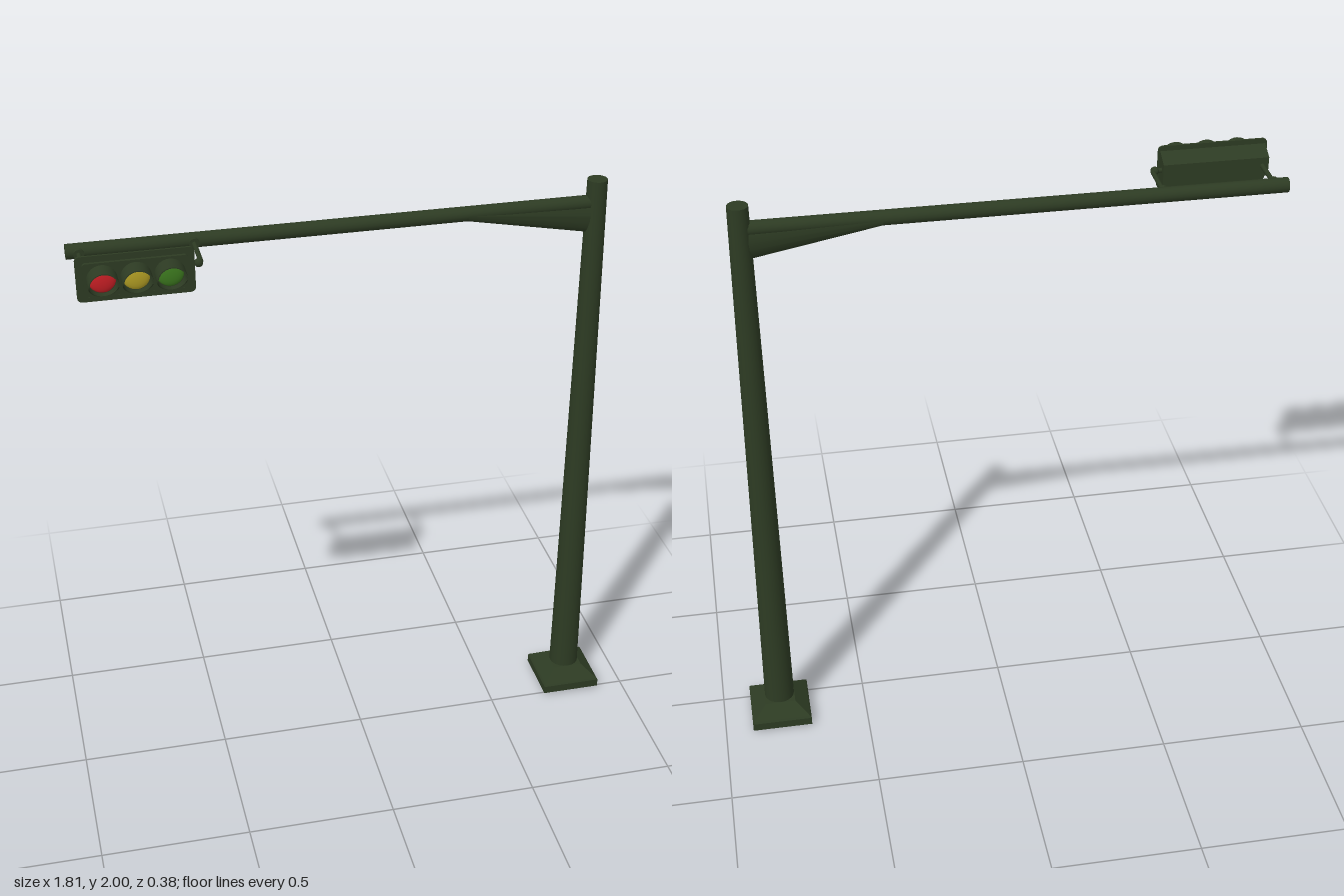
import * as THREE from 'three';

const ARM_Y = 1.922, ARM_Z = -0.088, POLE_X = 0.802, HEAD_X = -0.715, HEAD_Y = 1.918;

function paint(name, color, double = false) {
  const m = new THREE.MeshStandardMaterial({ color });
  m.name = name;
  if (double) m.side = THREE.DoubleSide;
  return m;
}

function add(parent, name, geometry, material, x = 0, y = 0, z = 0) {
  const mesh = new THREE.Mesh(geometry, material);
  mesh.name = name;
  mesh.position.set(x, y, z);
  parent.add(mesh);
  return mesh;
}

// Gives every face its own normal, for crisp edges
function faceted(geometry) {
  const g = geometry.index ? geometry.toNonIndexed() : geometry;
  g.computeVertexNormals();
  return g;
}

// Moves each vertex of a geometry by a rule
function reshape(geometry, rule) {
  const p = geometry.attributes.position;
  const v = new THREE.Vector3();
  for (let i = 0; i < p.count; i++) {
    rule(v.fromBufferAttribute(p, i));
    p.setXYZ(i, v.x, v.y, v.z);
  }
  geometry.computeVertexNormals();
  return geometry;
}

function roundedRect(w, h, r) {
  const s = new THREE.Shape(), x = w / 2, y = h / 2;
  s.moveTo(-x + r, -y);
  s.lineTo(x - r, -y);
  s.absarc(x - r, -y + r, r, -Math.PI / 2, 0);
  s.absarc(x - r, y - r, r, 0, Math.PI / 2);
  s.absarc(-x + r, y - r, r, Math.PI / 2, Math.PI);
  s.absarc(-x + r, -y + r, r, Math.PI, Math.PI * 1.5);
  return s;
}

function plate(w, h, r, depth) {
  return new THREE.ExtrudeGeometry(roundedRect(w, h, r), { depth, bevelEnabled: false, curveSegments: 5 });
}

export function createModel() {
  const model = new THREE.Group();
  model.name = 'trafficSignal';
  const green = paint('darkGreenPaint', 0x2d3b23, true);
  const lensColors = [paint('redLens', 0xc81f25), paint('yellowLens', 0xb39f24), paint('greenLens', 0x3d7a1f)];

  // Square foot, hollow underneath, sloping up to the pole
  const q = Math.SQRT2;
  const footProfile = [[0.045, 0.03], [0.085, 0.025], [0.09, 0.008], [0.103, 0.008], [0.103, 0.036], [0.098, 0.042], [0.052, 0.08], [0.03, 0.08]]
    .map(([r, y]) => new THREE.Vector2(r * q, y));
  const foot = add(model, 'foot', faceted(new THREE.LatheGeometry(footProfile, 4)), green, POLE_X, 0, ARM_Z);
  foot.rotation.y = Math.PI / 4;

  // Tapered pole
  add(model, 'pole', new THREE.CylinderGeometry(0.033, 0.052, 2, 20), green, POLE_X, 1, ARM_Z);

  // Horizontal arm
  const armLength = POLE_X + 0.906;
  const arm = new THREE.CylinderGeometry(0.024, 0.024, armLength, 16).rotateZ(Math.PI / 2);
  add(model, 'arm', arm, green, POLE_X - armLength / 2, ARM_Y, ARM_Z);

  // Arm root, deepening downward toward the pole
  const root = new THREE.CylinderGeometry(0.024, 0.024, 0.43, 16, 1).rotateZ(Math.PI / 2);
  reshape(root, v => {
    const t = v.x / 0.43 + 0.5;
    v.y = 0.024 - (0.024 - v.y) * (1 + 1.75 * t);
  });
  add(model, 'armRoot', root, green, 0.585, ARM_Y, ARM_Z);

  // Brackets from arm to signal head
  const rod = (name, points) => add(model, name, new THREE.TubeGeometry(
    new THREE.CatmullRomCurve3(points.map(p => new THREE.Vector3(...p)), false, 'catmullrom', 0.1), 24, 0.008, 8), green);
  rod('outerBracket', [[-0.867, ARM_Y, ARM_Z], [-0.867, ARM_Y, 0.07]]);
  rod('innerBracket', [[-0.512, ARM_Y, ARM_Z], [-0.512, ARM_Y, 0.07], [-0.518, ARM_Y, 0.08], [-0.56, ARM_Y, 0.083]]);
  for (const x of [-0.867, -0.512]) {
    const collar = new THREE.CylinderGeometry(0.017, 0.017, 0.012, 12).rotateX(Math.PI / 2);
    add(model, 'bracketCollar', collar, green, x, ARM_Y, ARM_Z + 0.026);
  }
  add(model, 'bracketElbow', new THREE.SphereGeometry(0.014, 12, 8), green, -0.52, ARM_Y, 0.08);

  const head = new THREE.Group();
  head.name = 'signalHead';
  head.position.set(HEAD_X, HEAD_Y, 0);
  model.add(head);

  // Housing narrows in height toward the back
  const housing = reshape(new THREE.BoxGeometry(0.345, 0.116, 0.052), v => { if (v.z < 0) v.y *= 0.55; });
  add(head, 'housing', housing, green, 0, 0, 0.082);
  add(head, 'backPlate', plate(0.358, 0.148, 0.016, 0.007), green, 0, 0, 0.107);
  add(head, 'door', plate(0.316, 0.108, 0.01, 0.01), green, 0, 0, 0.114);

  // Lamps with hoods that are cut away below
  const hoodDepth = 0.064;
  for (let i = 0; i < 3; i++) {
    const x = (i - 1) * 0.102;
    const lens = new THREE.SphereGeometry(0.042, 24, 6, 0, Math.PI * 2, 0, Math.PI / 2).rotateX(Math.PI / 2);
    lens.scale(1, 1, 0.3);
    add(head, 'lens', lens, lensColors[i], x, 0, 0.125);

    for (const r of [0.047, 0.044]) {
      const hood = new THREE.CylinderGeometry(r, r, hoodDepth, 28, 1, true).rotateX(Math.PI / 2);
      reshape(hood, v => {
        if (v.z > 0) v.z -= 0.042 * Math.sqrt(Math.max(0, -v.y / r));
      });
      add(head, 'hood', hood, green, x, 0, 0.124 + hoodDepth / 2);
    }
    // Front lip joining the inner and outer hood walls
    const lip = reshape(new THREE.RingGeometry(0.044, 0.047, 28, 1), v => {
      const s = Math.max(0, -v.y / Math.hypot(v.x, v.y));
      v.z = -0.042 * Math.sqrt(s);
    });
    add(head, 'hoodLip', lip, green, x, 0, 0.124 + hoodDepth);
  }

  // Door latches along the lower edge
  for (const x of [-0.14, -0.05, 0.05, 0.14]) {
    add(head, 'latch', new THREE.BoxGeometry(0.014, 0.01, 0.012), green, x, -0.058, 0.119);
  }
  return model;
}
